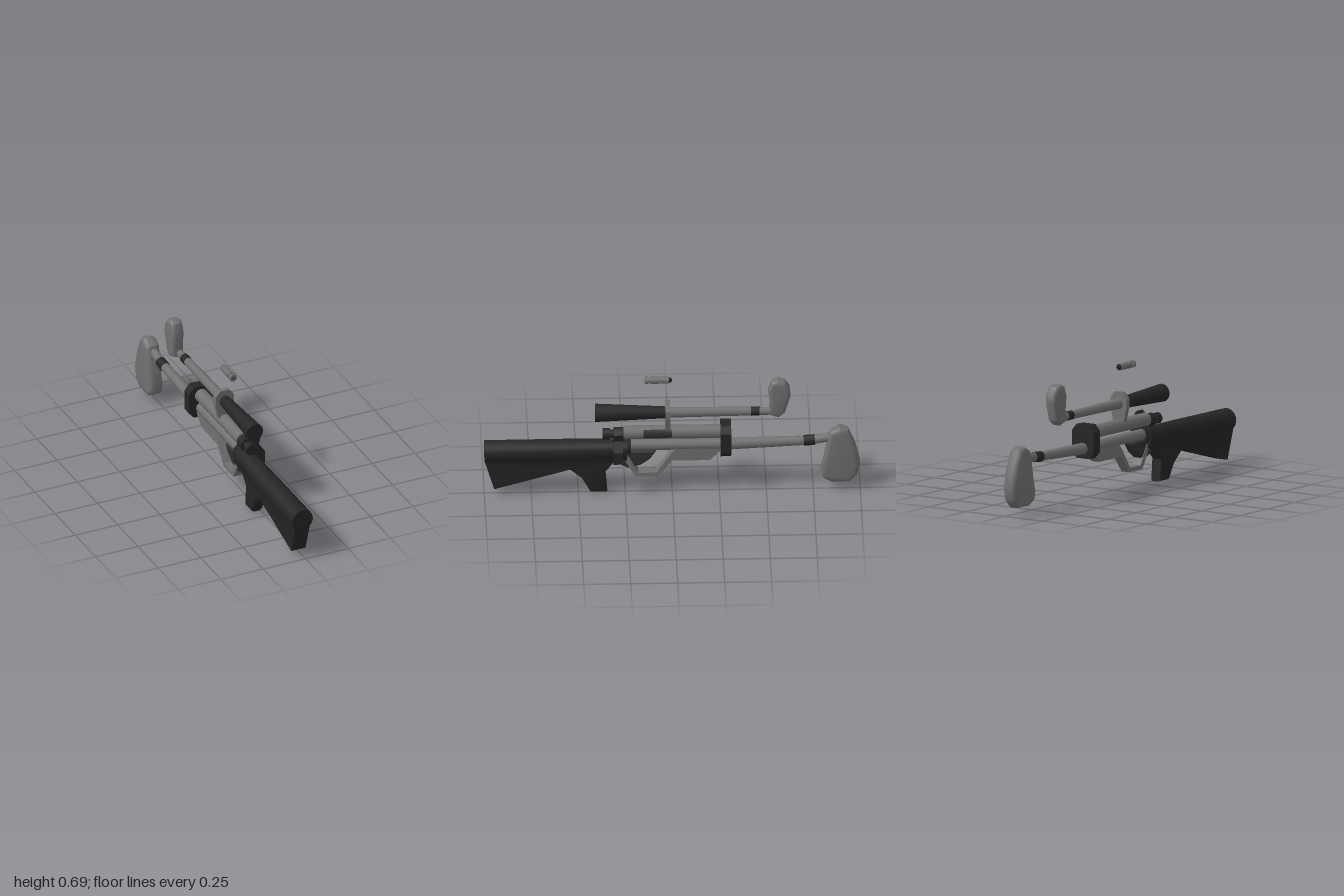
import * as THREE from 'three';
import { toCreasedNormals } from 'three/addons/utils/BufferGeometryUtils.js';

const CX = -0.018; // shared centre line of the whole assembly

export function createModel() {
  const group = new THREE.Group();
  const mat = (name, color) => Object.assign(new THREE.MeshStandardMaterial({ color }), { name });
  const dark = mat('blackened', 0x252525);
  const grey = mat('steel grey', 0x707070);
  const shade = mat('dark grey', 0x303030);

  const add = (name, geo, m, x = 0, y = 0, z = 0) => {
    const mesh = new THREE.Mesh(geo, m);
    mesh.name = name;
    mesh.position.set(x, y, z);
    group.add(mesh);
    return mesh;
  };

  // round part running from (y0, z0) to (y1, z1)
  const rod = (name, m, r0, y0, z0, r1, y1, z1, seg = 12) => {
    const dir = new THREE.Vector3(0, y1 - y0, z1 - z0);
    const mesh = add(name, new THREE.CylinderGeometry(r1, r0, dir.length(), seg), m, CX, (y0 + y1) / 2, (z0 + z1) / 2);
    mesh.quaternion.setFromUnitVectors(new THREE.Vector3(0, 1, 0), dir.normalize());
    return mesh;
  };

  const shapeOf = (pts) => new THREE.Shape(pts.map(([a, b]) => new THREE.Vector2(a, b)));
  const extrude = (shape, width, bevel, segs) => new THREE.ExtrudeGeometry(shape, {
    depth: width - 2 * bevel, bevelEnabled: bevel > 0, bevelSize: bevel,
    bevelThickness: bevel, bevelOffset: -bevel, bevelSegments: segs,
  }).translate(0, 0, -(width - 2 * bevel) / 2);

  // side profile of [z, y] points, given a width along x
  const side = (name, m, pts, width, bevel = 0, segs = 1, x = CX) => {
    const geo = extrude(shapeOf(pts), width, bevel, segs).rotateY(-Math.PI / 2);
    return add(name, bevel > 0 ? toCreasedNormals(geo, 0.6) : geo, m, x);
  };
  // front profile of [x, y] points, given a thickness along z
  const front = (name, m, pts, depth, z) => add(name, extrude(shapeOf(pts), depth, 0, 1), m, 0, 0, z);

  // shoulder stock: round top on a narrower blade, with a slanted butt
  const section = (z, r, cy, bottom) => {
    const pts = [];
    for (let i = 0; i <= 10; i++) {
      const a = (-30 + i * 24) * Math.PI / 180;
      pts.push([r * Math.cos(a), cy + r * Math.sin(a)]);
    }
    pts.push([-r * 0.72, 0.2], [-r * 0.68, bottom], [r * 0.68, bottom], [r * 0.72, 0.2]);
    return pts.map(([x, y]) => [CX + x, y, z > 0.9 ? z - Math.max(0, 0.21 - y) * 0.3 : z]);
  };
  const rings = [section(1, 0.061, 0.243, 0.035), section(0.55, 0.058, 0.248, 0.145), section(0.24, 0.05, 0.255, 0.195)];
  const n = rings[0].length, pos = [];
  const tri = (...p) => p.forEach((v) => pos.push(...v));
  for (let k = 0; k < rings.length - 1; k++) {
    for (let i = 0; i < n; i++) {
      const j = (i + 1) % n, A = rings[k], B = rings[k + 1];
      tri(A[i], B[i], A[j]);
      tri(A[j], B[i], B[j]);
    }
  }
  const F = rings[0], E = rings[2];
  for (let i = 0; i < n; i++) {
    const j = (i + 1) % n;
    tri([CX, 0.22, 1], F[i], F[j]);
    tri([CX, 0.23, 0.24], E[j], E[i]);
  }
  const stock = new THREE.BufferGeometry();
  stock.setAttribute('position', new THREE.Float32BufferAttribute(pos, 3));
  add('stock', toCreasedNormals(stock, 0.6), dark);

  // hand grip and trigger
  side('grip', dark, [[0.57, 0.16], [0.55, 0.14], [0.48, 0.08], [0.435, 0], [0.345, 0], [0.355, 0.12],
    [0.29, 0.2], [0.35, 0.23], [0.52, 0.23]], 0.07, 0.02, 2);
  side('trigger', shade, [[0.3, 0.17], [0.235, 0.14], [0.17, 0.155], [0.12, 0.19], [0.085, 0.24], [0.3, 0.25]], 0.045, 0.01);

  // trigger guard strip and fore-end
  side('triggerGuard', grey, [[0.27, 0.22], [0.195, 0.09], [0.075, 0.09], [0, 0.185], [-0.2, 0.185], [-0.255, 0.24],
    [-0.255, 0.26], [-0.02, 0.26], [0.015, 0.215], [0.085, 0.113], [0.18, 0.113], [0.235, 0.22]], 0.05);

  // receiver, ejection port and bolt
  rod('receiver', grey, 0.037, 0.348, 0.26, 0.037, 0.348, -0.28);
  const port = add('ejectionPort', new THREE.CylinderGeometry(0.0385, 0.0385, 0.15, 4, 1, true, 1.1, 1.3), dark, CX, 0.348, 0.078);
  port.rotation.x = Math.PI / 2;
  port.material = shade;
  rod('boltKnob', dark, 0.031, 0.34, 0.37, 0.031, 0.34, 0.33, 10);
  rod('boltNeck', dark, 0.022, 0.34, 0.34, 0.022, 0.34, 0.25, 10);
  rod('boltCollar', dark, 0.037, 0.34, 0.31, 0.037, 0.34, 0.26, 10);
  front('boltHandle', dark, [[0, 0.36], [0.025, 0.37], [0.042, 0.387], [0.06, 0.372], [0.05, 0.33], [0.087, 0.28],
    [0.087, 0.21], [0.055, 0.21], [0.05, 0.25], [0.02, 0.29], [0, 0.31]], 0.05, 0.29);
  rod('stockCollar', dark, 0.045, 0.262, 0.28, 0.04, 0.262, 0.22);

  // barrel: a club shaft with band, neck and head
  rod('barrelSleeve', grey, 0.03, 0.272, 0.25, 0.03, 0.272, -0.28);
  rod('barrelShaft', grey, 0.032, 0.27, -0.28, 0.025, 0.284, -0.71);
  rod('barrelBand', dark, 0.029, 0.283, -0.7, 0.028, 0.288, -0.76);
  rod('barrelNeck', grey, 0.024, 0.288, -0.75, 0.024, 0.305, -0.86);
  front('barrelBlock', dark, [[-0.06, 0.4], [0.024, 0.4], [0.053, 0.365], [0.053, 0.25], [0.024, 0.217],
    [-0.06, 0.217], [-0.089, 0.25], [-0.089, 0.365]], 0.056, -0.285);
  side('largeClubHead', grey, [[-0.825, 0.29], [-0.84, 0.34], [-0.89, 0.367], [-0.935, 0.352], [-0.975, 0.26], [-1, 0.15],
    [-0.985, 0.08], [-0.945, 0.04], [-0.845, 0.04], [-0.8, 0.065], [-0.79, 0.11], [-0.808, 0.19]], 0.08, 0.024, 3, -0.022);

  // sight: tapered grip, shaft, band, neck and a small upturned head
  rod('sightGrip', dark, 0.049, 0.47, 0.41, 0.031, 0.467, 0.02);
  rod('sightShaft', grey, 0.029, 0.467, 0.03, 0.023, 0.467, -0.43);
  rod('sightBand', dark, 0.025, 0.467, -0.42, 0.025, 0.467, -0.465);
  rod('sightNeck', grey, 0.021, 0.467, -0.46, 0.021, 0.467, -0.555);
  side('smallClubHead', grey, [[-0.515, 0.45], [-0.565, 0.433], [-0.6, 0.46], [-0.63, 0.56], [-0.625, 0.61], [-0.6, 0.645],
    [-0.56, 0.656], [-0.53, 0.643], [-0.51, 0.59], [-0.518, 0.52]], 0.07, 0.02, 3, -0.028);
  front('sightMount', grey, [[-0.045, 0.53], [0.01, 0.53], [0.035, 0.497], [0.035, 0.45], [0.017, 0.37],
    [-0.053, 0.37], [-0.071, 0.45], [-0.071, 0.497]], 0.026, 0.024);

  // loose cartridge floating above
  rod('cartridgeRim', grey, 0.021, 0.664, 0.146, 0.021, 0.664, 0.126, 8);
  rod('cartridgeGroove', grey, 0.015, 0.664, 0.128, 0.015, 0.664, 0.114, 8);
  rod('cartridgeCase', grey, 0.02, 0.664, 0.116, 0.019, 0.664, 0.016, 8);
  rod('cartridgeTip', dark, 0.017, 0.664, 0.017, 0.008, 0.664, 0.002, 8);
  for (const a of [0, Math.PI / 2]) {
    add('primerSlot', new THREE.BoxGeometry(0.018, 0.004, 0.002), dark, CX, 0.664, 0.1465).rotation.z = a;
  }
  return group;
}
